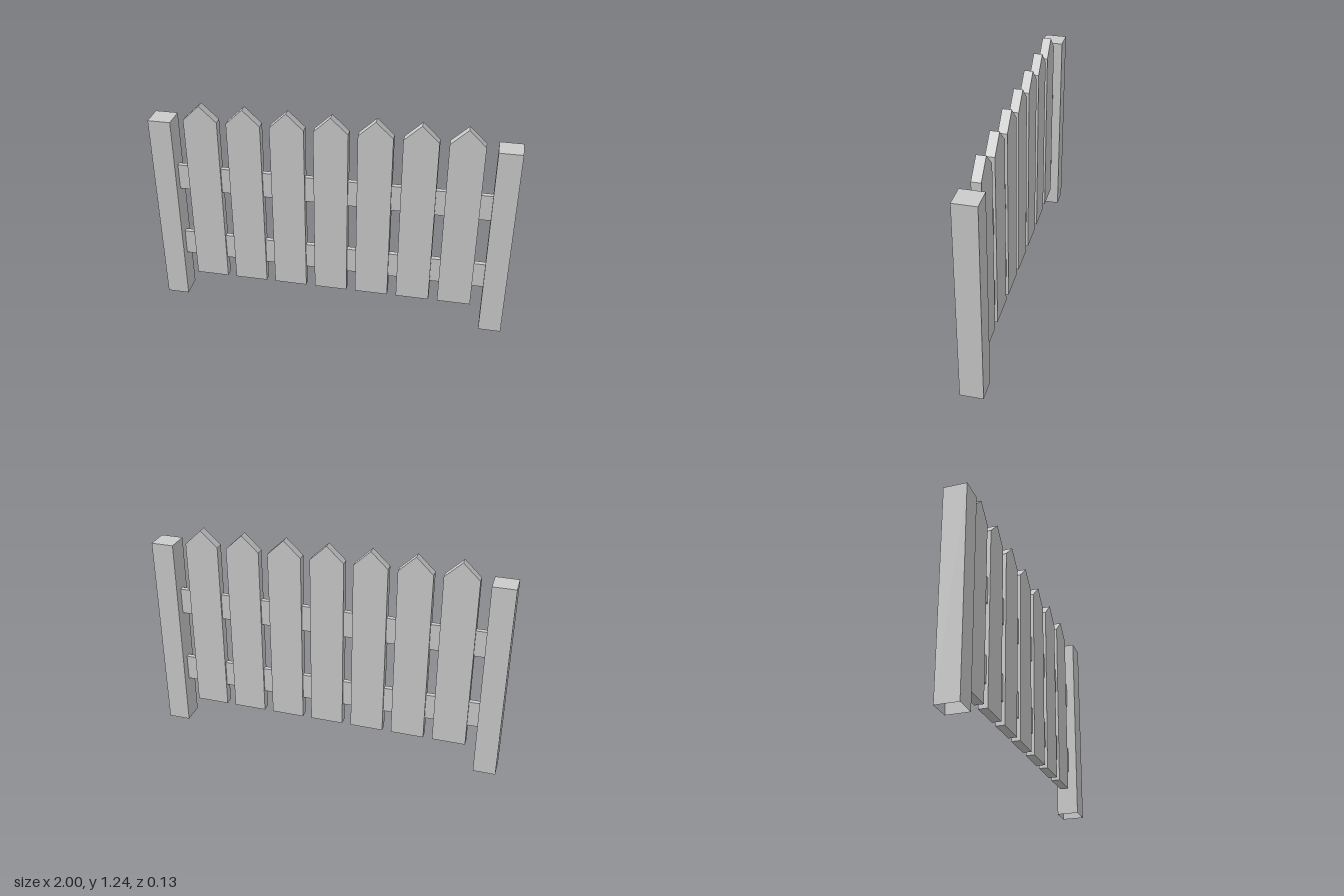
import * as THREE from 'three';

export function createModel() {
  const group = new THREE.Group();
  const mat = new THREE.MeshStandardMaterial({ color: 0xcccccc, flatShading: true });
  const openMat = new THREE.MeshStandardMaterial({ color: 0xcccccc, flatShading: true, side: THREE.DoubleSide });

  const add = (name, geometry, material, x, y) => {
    const mesh = new THREE.Mesh(geometry, material);
    mesh.name = name;
    mesh.position.set(x, y, 0);
    group.add(mesh);
  };

  // Square end posts, open underneath
  const postSize = 0.126, postHeight = 1.15;
  const post = new THREE.BoxGeometry(postSize, postHeight, postSize);
  const index = Array.from(post.index.array);
  index.splice(18, 6); // drop the bottom face
  post.setIndex(index);
  post.clearGroups();
  const postX = 1 - postSize / 2;
  add('leftPost', post, openMat, postX, postHeight / 2);
  add('rightPost', post, openMat, -postX, postHeight / 2);

  // Two rails running between the posts
  const rail = new THREE.BoxGeometry(2 - 2 * postSize, 0.152, 0.027);
  add('lowerRail', rail, mat, 0, 0.343);
  add('upperRail', rail, mat, 0, 0.787);

  // Seven pointed pickets
  const half = 0.094, depth = 0.05;
  const outline = new THREE.Shape([
    new THREE.Vector2(-half, 0.14),
    new THREE.Vector2(half, 0.14),
    new THREE.Vector2(half, 1.153),
    new THREE.Vector2(0, 1.243),
    new THREE.Vector2(-half, 1.153),
  ]);
  const picket = new THREE.ExtrudeGeometry(outline, { depth, bevelEnabled: false });
  picket.translate(0, 0, -depth / 2);
  for (let i = -3; i <= 3; i++) add('picket' + (i + 4), picket, mat, i * 0.2395, 0);

  return group;
}
